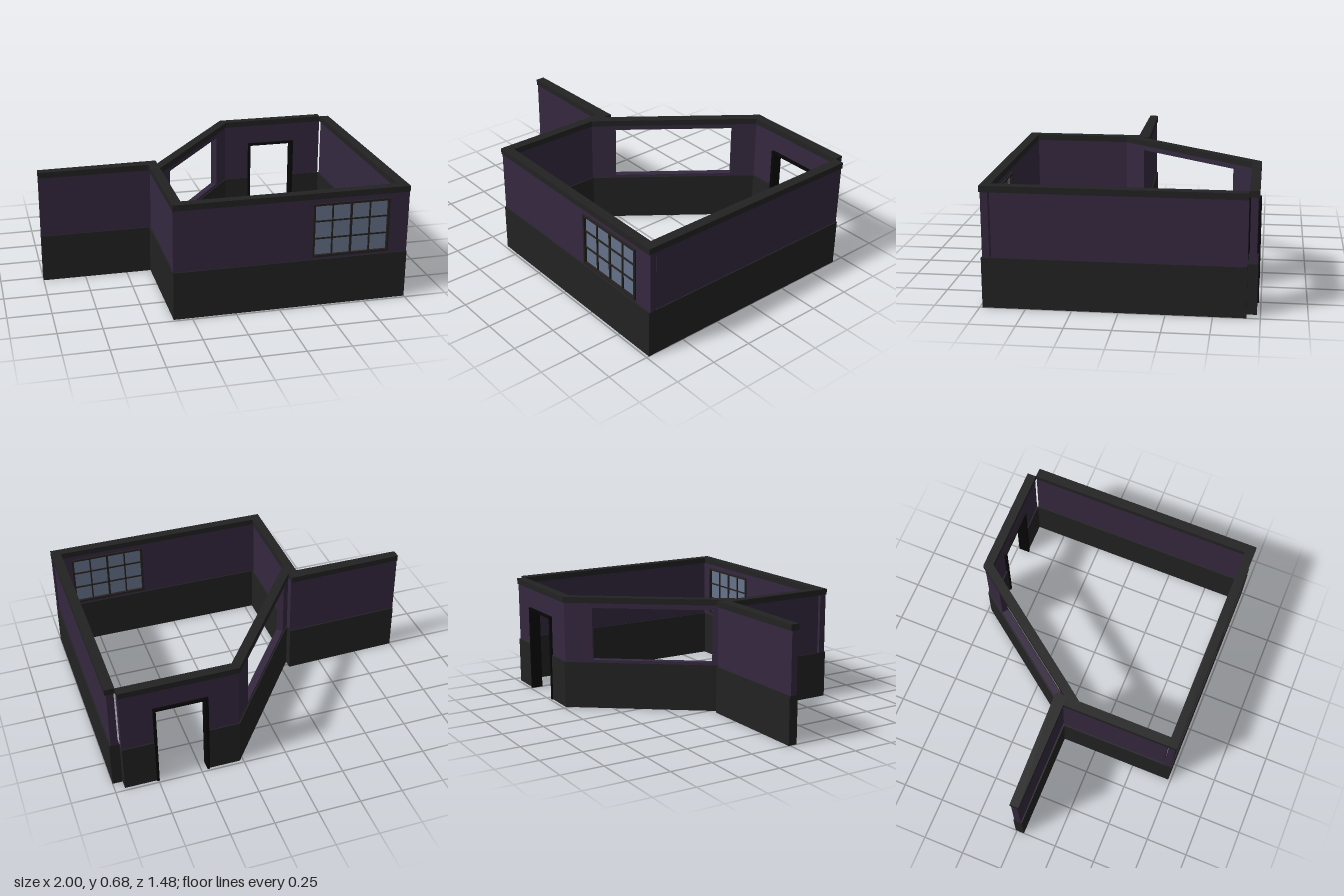
import * as THREE from 'three';

const mat = (color) => new THREE.MeshStandardMaterial({ color, flatShading: true });
const V = (x, z) => new THREE.Vector2(x, z);

export function createModel() {
  const model = new THREE.Group();
  model.name = 'roomWalls';
  const dark = mat(0x222222), purple = mat(0x35283f), black = mat(0x060606);
  const frameMat = mat(0x24211f), glassMat = mat(0x66728a);

  const BASE = 0.28, PANEL = 0.64, TOP = 0.675, INSET = 0.14;

  // Vertical prism over a floor-plan quad [outerA, outerB, innerB, innerA]
  function prism(group, name, quad, y0, y1, material) {
    const shape = new THREE.Shape(quad.map((p) => V(p.x, -p.y)));
    const geo = new THREE.ExtrudeGeometry(shape, { depth: y1 - y0, bevelEnabled: false });
    geo.rotateX(-Math.PI / 2).translate(0, y0, 0);
    const mesh = new THREE.Mesh(geo, material);
    mesh.name = name;
    group.add(mesh);
  }

  // Wall of skirting, recessed panel and cap; opening = distances s0, s1 along the outer edge, heights y0, y1
  function wall(name, oA, oB, iB, iA, opening) {
    const group = new THREE.Group();
    group.name = name;
    model.add(group);
    const dir = oB.clone().sub(oA).normalize();
    const lead = iA.clone().sub(oA).dot(dir);
    const cut = (s) => [
      oA.clone().addScaledVector(dir, s),
      iA.clone().addScaledVector(dir, s - lead),
    ];

    const layers = [
      ['skirting', 0, BASE, 0, dark],
      ['panel', BASE, PANEL, INSET, purple],
      ['cap', PANEL, TOP, 0, dark],
    ];
    const piece = ([a, b], [c, d], low, high) => {
      for (const [label, y0, y1, inset, material] of layers) {
        const from = Math.max(y0, low), to = Math.min(y1, high);
        if (to - from < 1e-4) continue;
        const quad = [
          a.clone().lerp(b, inset), c.clone().lerp(d, inset),
          d.clone().lerp(c, inset), b.clone().lerp(a, inset),
        ];
        prism(group, label, quad, from, to, material);
      }
    };

    const start = [oA, iA], end = [oB, iB];
    if (!opening) return piece(start, end, 0, TOP);
    const { s0, s1, y0, y1 } = opening;
    const p = cut(s0), q = cut(s1);
    piece(start, p, 0, TOP);
    piece(q, end, 0, TOP);
    piece(p, q, 0, y0);
    piece(p, q, y1, TOP);
  }

  // Floor plan
  wall('frontWall', V(-0.355, 0.735), V(1, 0.735), V(1, 0.68), V(-0.355, 0.68),
    { s0: 0.8, s1: 1.23, y0: 0.3, y1: 0.605 });
  wall('leftWall', V(1, 0.68), V(1, -0.677), V(0.943, -0.677), V(0.943, 0.68));
  wall('backWall', V(0.943, -0.731), V(0.27, -0.731), V(0.298, -0.677), V(0.943, -0.677),
    { s0: 0.188, s1: 0.488, y0: 0, y1: 0.515 });
  wall('diagonalWall', V(0.27, -0.731), V(-0.352, 0.1), V(-0.309, 0.132), V(0.298, -0.677),
    { s0: 0.17, s1: 0.88, y0: 0.295, y1: 0.61 });
  wall('rightWall', V(-0.355, 0.04), V(-0.355, 0.68), V(-0.3, 0.68), V(-0.3, 0.04));
  wall('wingWall', V(-0.3, -0.024), V(-1, -0.008), V(-1, 0.045), V(-0.3, 0.045));

  // Axis-aligned box from its limits
  function box(group, name, x0, x1, y0, y1, z0, z1, material) {
    const mesh = new THREE.Mesh(new THREE.BoxGeometry(x1 - x0, y1 - y0, z1 - z0), material);
    mesh.position.set((x0 + x1) / 2, (y0 + y1) / 2, (z0 + z1) / 2);
    mesh.name = name;
    group.add(mesh);
  }

  // Door frame around the back opening
  const door = new THREE.Group();
  door.name = 'doorFrame';
  model.add(door);
  for (const x of [0.45, 0.745]) box(door, 'doorJamb', x, x + 0.015, 0, 0.505, -0.738, -0.67, black);
  box(door, 'doorLintel', 0.45, 0.76, 0.505, 0.52, -0.738, -0.67, black);

  // Front window: surround, glass and glazing bars, four panes by three
  const win = new THREE.Group();
  win.name = 'window';
  model.add(win);
  const z0 = 0.678, z1 = 0.738;
  for (const x of [0.436, 0.872]) box(win, 'windowSide', x, x + 0.012, 0.296, 0.612, z0, z1, frameMat);
  for (const y of [0.296, 0.6]) box(win, 'windowRail', 0.448, 0.872, y, y + 0.012, z0, z1, frameMat);
  box(win, 'glass', 0.448, 0.872, 0.308, 0.6, 0.694, 0.722, glassMat);
  for (let i = 1; i < 4; i++) {
    const x = 0.442 + i * 0.109, half = i === 2 ? 0.006 : 0.004;
    box(win, 'verticalBar', x - half, x + half, 0.308, 0.6, 0.686, 0.73, frameMat);
  }
  for (let i = 1; i < 3; i++) {
    const y = 0.302 + i * 0.102;
    box(win, 'horizontalBar', 0.448, 0.872, y - 0.004, y + 0.004, 0.687, 0.729, frameMat);
  }

  return model;
}
